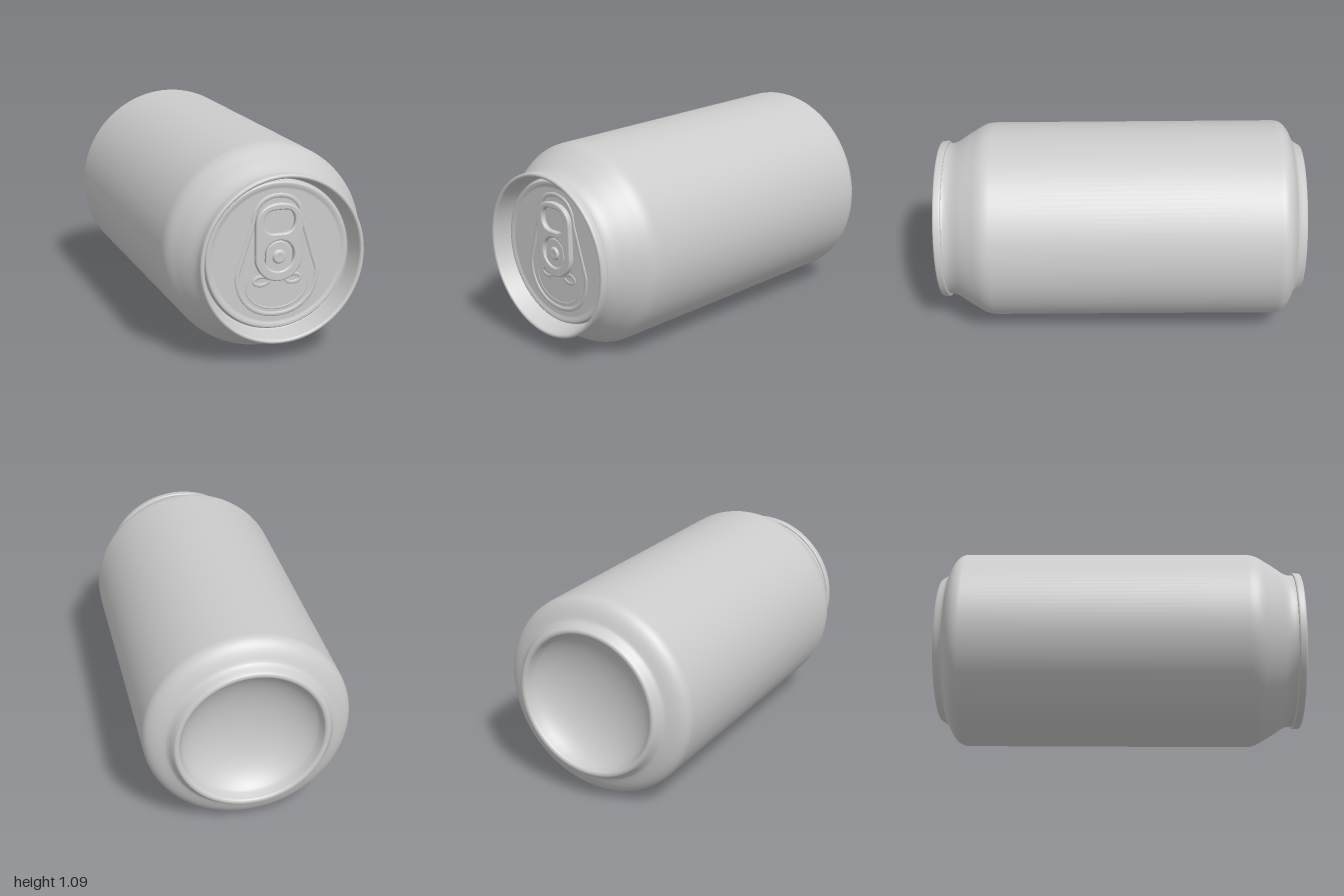
import * as THREE from 'three';

const SIDES = 128;
const LID_Z = 0.905;
const material = new THREE.MeshStandardMaterial({ color: 0xcccccc, roughness: 0.6, side: THREE.DoubleSide });

// Turn a path of (radius, z) around the can's axis, which runs along z
function turned(name, path, divisions = 8) {
  const geometry = new THREE.LatheGeometry(path.getPoints(divisions), SIDES);
  geometry.rotateX(Math.PI / 2);
  const mesh = new THREE.Mesh(geometry, material);
  mesh.name = name;
  return mesh;
}

// Closed outline with a wide round bottom and a narrower round top
function teardrop(topY, topR, bottomY, bottomR, Type = THREE.Path) {
  const p = new Type();
  const lowY = bottomY + bottomR, highY = topY - topR, k = 0.6;
  p.moveTo(bottomR, lowY);
  p.lineTo(topR, highY);
  p.bezierCurveTo(topR, highY + topR * k, topR * k, topY, 0, topY);
  p.bezierCurveTo(-topR * k, topY, -topR, highY + topR * k, -topR, highY);
  p.lineTo(-bottomR, lowY);
  p.bezierCurveTo(-bottomR, lowY - bottomR * k, -bottomR * k, bottomY, 0, bottomY);
  p.bezierCurveTo(bottomR * k, bottomY, bottomR, lowY - bottomR * k, bottomR, lowY);
  return p;
}

// Soft raised line pressed into the lid along a set of 2D points
function bead(name, points, radius, height, closed) {
  const curve = new THREE.CatmullRomCurve3(points.map(p => new THREE.Vector3(p.x, p.y, 0)), closed, 'centripetal');
  const mesh = new THREE.Mesh(new THREE.TubeGeometry(curve, 120, radius, 10, closed), material);
  mesh.name = name;
  mesh.scale.z = height / radius;
  mesh.position.z = LID_Z;
  return mesh;
}

function outline(path) {
  const pts = path.getSpacedPoints(60);
  pts.pop();
  return pts;
}

function slab(name, shape, z, depth, bevel) {
  const geometry = new THREE.ExtrudeGeometry(shape, {
    depth, bevelEnabled: true, bevelThickness: bevel, bevelSize: bevel,
    bevelOffset: -bevel, bevelSegments: 4, curveSegments: 20,
  });
  const mesh = new THREE.Mesh(geometry, material);
  mesh.name = name;
  mesh.position.z = z;
  return mesh;
}

function pullTab() {
  const tab = new THREE.Group();
  tab.name = 'pullTab';

  // Ring plate with a finger hole and a round opening around the rivet
  const plate = new THREE.Shape();
  plate.moveTo(0.126, 0);
  plate.lineTo(0.126, 0.17);
  plate.bezierCurveTo(0.126, 0.24, 0.07, 0.275, 0, 0.275);
  plate.bezierCurveTo(-0.07, 0.275, -0.126, 0.24, -0.126, 0.17);
  plate.lineTo(-0.126, 0);
  plate.absarc(0, 0, 0.126, Math.PI, Math.PI * 2, false);

  const finger = new THREE.Path();
  finger.moveTo(0.03, 0.12);
  finger.lineTo(-0.03, 0.12);
  finger.bezierCurveTo(-0.1, 0.125, -0.1, 0.24, -0.03, 0.24);
  finger.lineTo(0.03, 0.24);
  finger.bezierCurveTo(0.1, 0.24, 0.1, 0.125, 0.03, 0.12);
  plate.holes.push(finger);

  const opening = new THREE.Path();
  opening.absarc(0, 0.005, 0.08, 0, Math.PI * 2, true);
  plate.holes.push(opening);
  tab.add(slab('tabPlate', plate, LID_Z + 0.008, 0.012, 0.009));

  // Tongue joining the rivet to the nose of the tab
  const tongue = new THREE.Shape();
  tongue.moveTo(0.07, -0.06);
  tongue.lineTo(0.068, 0.01);
  tongue.absarc(0, 0.01, 0.068, 0, Math.PI, false);
  tongue.lineTo(-0.07, -0.06);
  tongue.absarc(0, -0.015, 0.083, Math.PI * 1.18, Math.PI * 1.82, false);
  tab.add(slab('tabTongue', tongue, LID_Z + 0.004, 0.010, 0.005));

  // Rivet button
  const rivet = new THREE.Path();
  rivet.moveTo(0.048, 0.92);
  rivet.lineTo(0.034, 0.925);
  rivet.bezierCurveTo(0.033, 0.936, 0.028, 0.937, 0.022, 0.937);
  rivet.lineTo(0, 0.936);
  tab.add(turned('rivet', rivet));
  return tab;
}

export function createModel() {
  const model = new THREE.Group();
  model.name = 'drinkCan';
  const can = new THREE.Group();
  can.name = 'can';
  can.position.y = 0.545;
  can.rotation.set(0.0115, -0.004, 0);
  model.add(can);

  // Outer wall from the foot to the neck
  const wall = new THREE.Path();
  wall.moveTo(0.37, -0.985);
  wall.bezierCurveTo(0.374, -0.997, 0.39, -0.998, 0.398, -0.992);
  wall.bezierCurveTo(0.412, -0.975, 0.415, -0.955, 0.435, -0.942);
  wall.bezierCurveTo(0.475, -0.925, 0.537, -0.905, 0.537, -0.845);
  wall.lineTo(0.537, 0.69);
  wall.bezierCurveTo(0.537, 0.75, 0.51, 0.775, 0.485, 0.82);
  wall.bezierCurveTo(0.45, 0.88, 0.422, 0.9, 0.422, 0.945);
  wall.lineTo(0.424, 0.958);
  can.add(turned('body', wall, 10));

  // Concave dome under the can
  const dome = new THREE.Path();
  dome.moveTo(0, -0.82);
  dome.bezierCurveTo(0.16, -0.82, 0.3, -0.87, 0.358, -0.95);
  dome.lineTo(0.37, -0.985);
  can.add(turned('baseDome', dome, 20));

  // Rolled seam around the lid
  const rim = new THREE.Path();
  rim.moveTo(0.422, 0.952);
  rim.bezierCurveTo(0.43, 0.95, 0.436, 0.953, 0.436, 0.962);
  rim.lineTo(0.435, 0.983);
  rim.bezierCurveTo(0.435, 0.998, 0.415, 0.999, 0.412, 0.985);
  can.add(turned('rim', rim));

  // Sloping inner wall, groove and flat panel of the lid
  const lid = new THREE.Path();
  lid.moveTo(0.412, 0.985);
  lid.lineTo(0.396, 0.905);
  lid.bezierCurveTo(0.394, 0.88, 0.384, 0.88, 0.382, 0.893);
  lid.bezierCurveTo(0.38, 0.91, 0.376, 0.912, 0.366, 0.911);
  lid.bezierCurveTo(0.355, 0.91, 0.35, LID_Z, 0.34, LID_Z);
  lid.lineTo(0, LID_Z);
  can.add(turned('lid', lid));

  // Pressed lines on the panel and the scored mouth below the tab
  can.add(bead('panelBead', outline(teardrop(0.31, 0.13, -0.305, 0.215)), 0.012, 0.006, true));
  const mouth = new THREE.EllipseCurve(0, -0.15, 0.165, 0.125, Math.PI * 0.95, Math.PI * 2.05);
  can.add(bead('mouthScore', mouth.getPoints(30), 0.006, 0.002, false));
  for (const side of [-1, 1]) {
    const arc = new THREE.EllipseCurve(side * 0.085, -0.125, 0.04, 0.022, 0, Math.PI * 2);
    const pts = arc.getPoints(20);
    pts.pop();
    can.add(bead(side > 0 ? 'leftMouthBump' : 'rightMouthBump', pts, 0.01, 0.004, true));
  }

  can.add(pullTab());
  return model;
}
